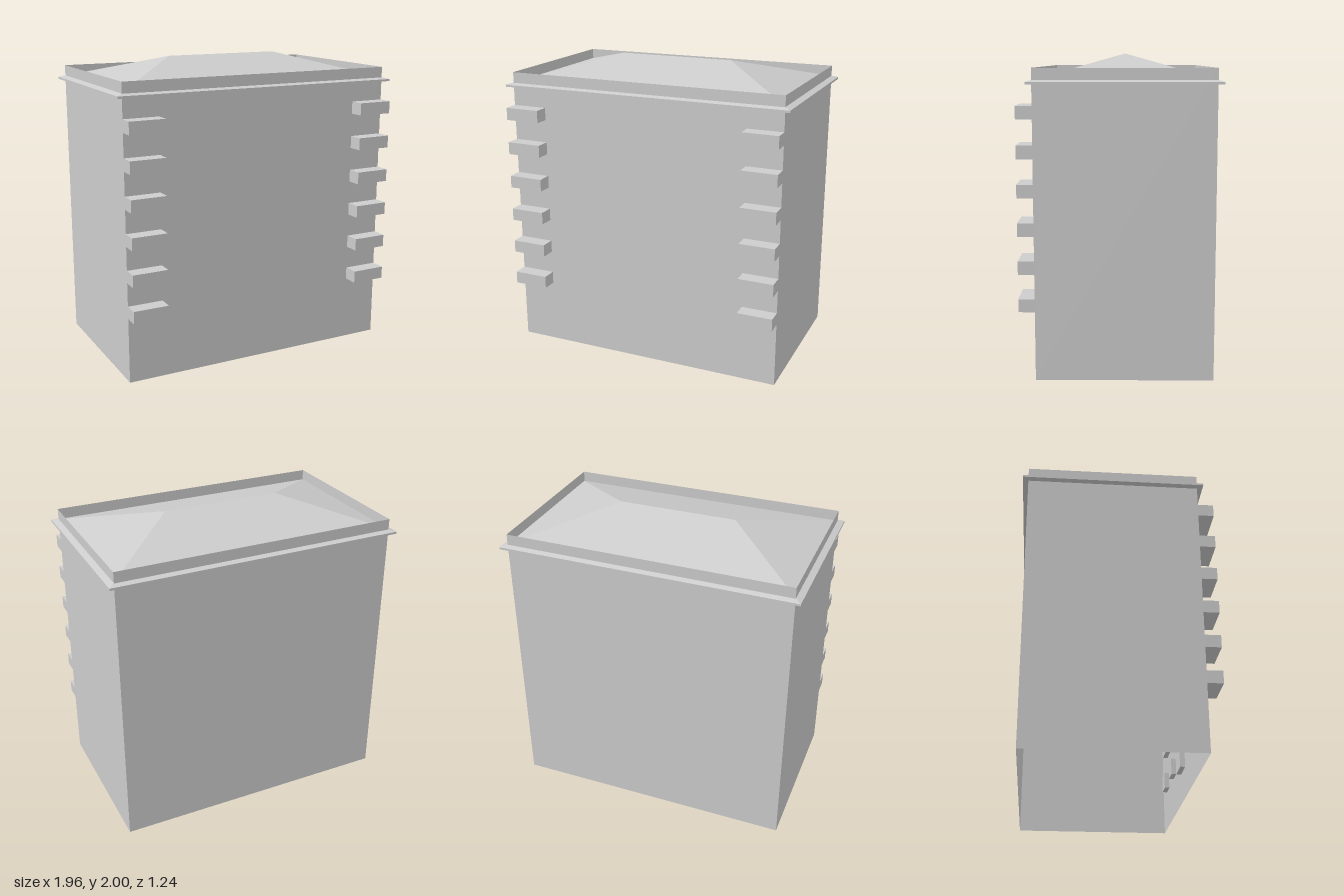
import * as THREE from 'three';
import { ConvexGeometry } from 'three/addons/geometries/ConvexGeometry.js';

export function createModel() {
  const model = new THREE.Group();
  model.name = 'building';

  const stone = new THREE.MeshStandardMaterial({ color: 0xcccccc });
  stone.name = 'grey stone';
  stone.side = THREE.DoubleSide;

  const add = (parent, name, geometry, x = 0, y = 0, z = 0, turn = 0) => {
    const mesh = new THREE.Mesh(geometry, stone);
    mesh.name = name;
    mesh.position.set(x, y, z);
    mesh.rotation.y = turn;
    parent.add(mesh);
    return mesh;
  };
  const group = (name) => {
    const g = new THREE.Group();
    g.name = name;
    model.add(g);
    return g;
  };

  const halfW = 0.94, front = 0.52, back = -0.58, midZ = -0.03;
  const depth = front - back, wallTop = 1.915;

  // Thin walls, open below, rising past the roof edge as a parapet
  const walls = group('walls');
  const wide = new THREE.PlaneGeometry(2 * halfW, wallTop);
  const narrow = new THREE.PlaneGeometry(depth, wallTop);
  add(walls, 'frontWall', wide, 0, wallTop / 2, front);
  add(walls, 'backWall', wide, 0, wallTop / 2, back, Math.PI);
  for (const s of [-1, 1]) {
    add(walls, s > 0 ? 'leftWall' : 'rightWall', narrow, s * halfW, wallTop / 2, midZ, s * Math.PI / 2);
  }

  // Hipped roof whose eaves form the projecting cornice
  const points = [];
  for (const x of [-0.98, 0.98]) {
    for (const z of [-0.615, 0.555]) {
      for (const y of [1.82, 1.834]) points.push(new THREE.Vector3(x, y, z));
    }
    points.push(new THREE.Vector3(Math.sign(x) * 0.395, 2, midZ));
  }
  add(model, 'hippedRoof', new ConvexGeometry(points));

  // Projecting blocks at the front corners, and window boxes on the inside
  const blocks = group('cornerBlocks');
  const windows = group('windowBoxes');
  const block = new THREE.BoxGeometry(0.235, 0.082, 0.1);
  const pane = new THREE.BoxGeometry(0.435, 0.112, 0.034);
  const inside = front - 0.018;
  for (let i = 0; i < 6; i++) {
    const y = 0.475 + i * 0.2355;
    for (const s of [-1, 1]) add(blocks, 'cornerBlock', block, s * 0.8225, y, front + 0.05);
    for (const x of [-0.47, 0, 0.47]) add(windows, 'wideWindow', pane, x, y + 0.097, inside);
  }

  // Ground floor door and small windows
  add(windows, 'door', new THREE.BoxGeometry(0.17, 0.2, 0.034), 0.01, 0.3, inside);
  const small = new THREE.BoxGeometry(0.12, 0.112, 0.034);
  for (const x of [-0.7, -0.355, 0.36, 0.7]) add(windows, 'smallWindow', small, x, 0.325, inside);

  return model;
}
